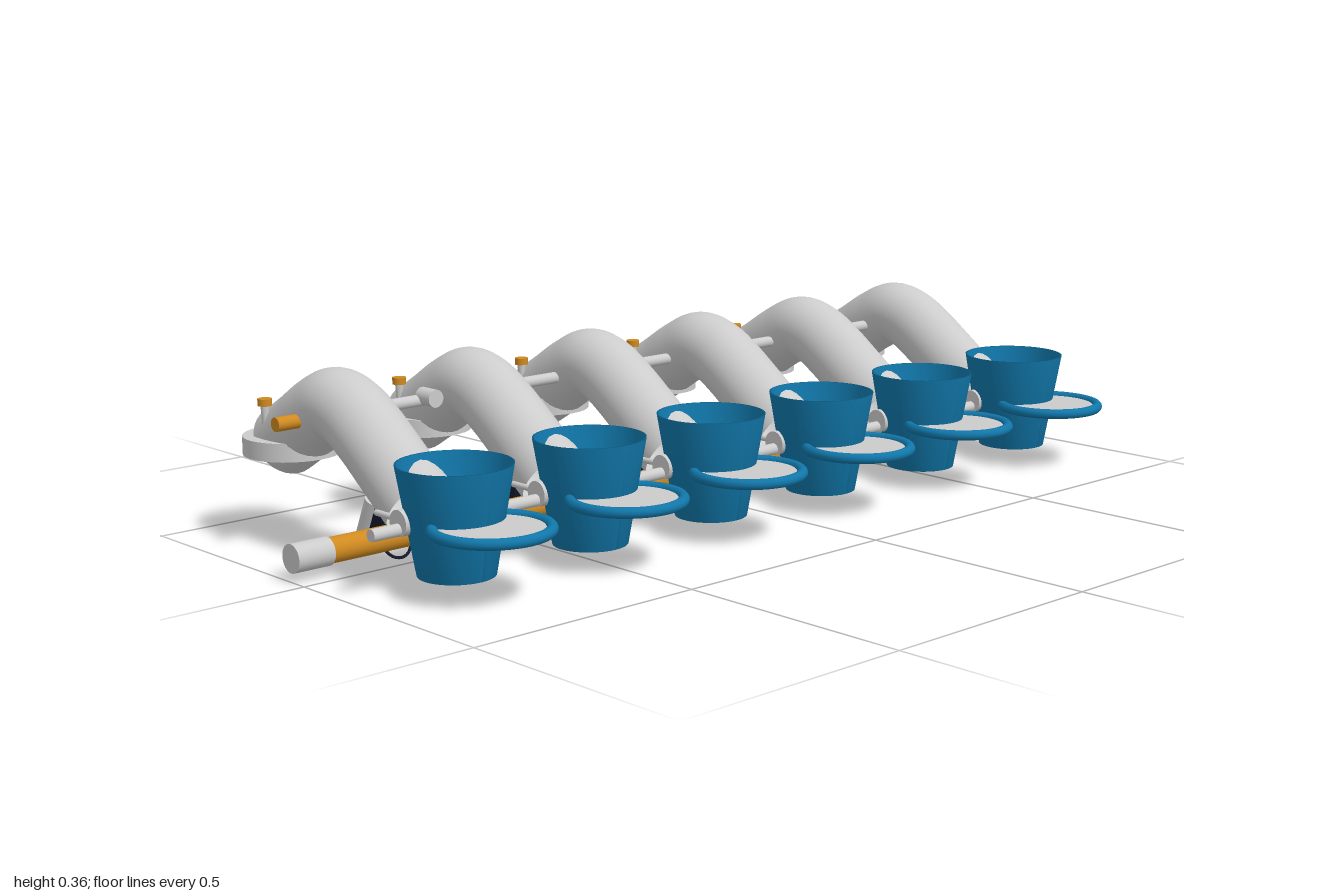
import * as THREE from 'three';

const mat = (color) => new THREE.MeshStandardMaterial({ color, side: THREE.DoubleSide });
const grey = mat(0xcccccc), white = mat(0xeeeeee), blue = mat(0x1177aa);
const orange = mat(0xd08a20), yellow = mat(0xf0c020), dark = mat(0x151a2c);

function add(parent, name, geometry, material, x = 0, y = 0, z = 0, rx = 0, ry = 0, rz = 0) {
  const mesh = new THREE.Mesh(geometry, material);
  mesh.name = name;
  mesh.position.set(x, y, z);
  mesh.rotation.set(rx, ry, rz);
  parent.add(mesh);
  return mesh;
}

const cyl = (r, h, r2 = r, open = false) => new THREE.CylinderGeometry(r, r2, h, 32, 1, open);

// rod along x between two ends
const rod = (parent, name, material, r, x0, x1, y, z) =>
  add(parent, name, cyl(r, x1 - x0), material, (x0 + x1) / 2, y, z, 0, 0, Math.PI / 2);

// centre line of the bent pipe as (z, y)
const pipePath = new THREE.CatmullRomCurve3([
  [0.095, 0.138], [0, 0.208], [-0.06, 0.251], [-0.112, 0.281],
  [-0.165, 0.292], [-0.218, 0.27], [-0.28, 0.232], [-0.343, 0.195],
].map(([z, y]) => new THREE.Vector3(0, y, z)));

function createUnit() {
  const unit = new THREE.Group();
  unit.name = 'unit';

  // bent pipe with its collar and bolts
  add(unit, 'pipe', new THREE.TubeGeometry(pipePath, 48, 0.072, 32), white);
  add(unit, 'collar', cyl(0.097, 0.037), grey, 0, 0.192, -0.323);
  for (const s of [-1, 1]) {
    add(unit, 'boltShaft', cyl(0.009, 0.05, 0.006), grey, s * 0.06, 0.258, -0.323);
    add(unit, 'boltHead', cyl(0.014, 0.014), orange, s * 0.06, 0.282, -0.323);
  }

  // open bucket
  const profile = [[0, 0.03], [0.073, 0.03], [0.109, 0.238], [0.105, 0.238], [0.07, 0.034], [0, 0.034]];
  add(unit, 'bucket', new THREE.LatheGeometry(profile.map((p) => new THREE.Vector2(...p)), 40), blue, 0, 0, 0.199)
    .geometry.computeVertexNormals();

  // round tray with a blue rim
  add(unit, 'trayRim', new THREE.TorusGeometry(0.107, 0.011, 12, 48), blue, 0, 0.135, 0.305, Math.PI / 2);
  add(unit, 'trayPlate', cyl(0.105, 0.005), grey, 0, 0.135, 0.305);

  // tilted flap at the pipe mouth, with pivots and arms
  add(unit, 'flap', cyl(0.058, 0.004), yellow, 0, 0.135, 0.157, 0.53);
  for (const s of [-1, 1]) {
    add(unit, 'pivot', cyl(0.025, 0.03), grey, s * 0.083, 0.135, 0.157, 0, 0, Math.PI / 2);
    add(unit, 'arm', new THREE.CapsuleGeometry(0.006, 0.08, 6, 12), grey, s * 0.078, 0.135, 0.105, Math.PI / 2);
  }

  // valve body, clamp block and wire loop on the supply pipe
  add(unit, 'valveBody', cyl(0.024, 0.1), grey, 0.03, 0.068, -0.105, 0.42);
  add(unit, 'clampBlock', new THREE.BoxGeometry(0.04, 0.065, 0.03), dark, 0.03, 0.085, -0.058, 0.42);
  add(unit, 'wireLoop', new THREE.TorusGeometry(0.031, 0.003, 8, 32), dark, 0.045, 0.034, -0.048, -0.5);
  return unit;
}

export function createModel() {
  const model = new THREE.Group();
  model.name = 'feederRow';

  // six equal units side by side
  for (let i = 0; i < 6; i++) {
    const unit = createUnit();
    unit.position.x = (i - 2.5) * 0.321;
    model.add(unit);
  }

  // supply pipe with its end fittings
  rod(model, 'supplyPipe', orange, 0.025, -0.94, 0.96, 0.049, -0.04);
  rod(model, 'endCap', grey, 0.028, -1, -0.92, 0.049, -0.04);
  add(model, 'elbowFitting', cyl(0.035, 0.053), grey, 0.965, 0.049, -0.037);

  // front pivot rod
  rod(model, 'pivotRod', grey, 0.012, -0.96, 0.97, 0.123, 0.157);

  // rear rod with tip, gauge and control box
  rod(model, 'rearRod', grey, 0.012, -0.9, 0.8, 0.264, -0.2);
  rod(model, 'rearRodTip', orange, 0.014, -0.92, -0.87, 0.264, -0.2);
  add(model, 'gauge', cyl(0.018, 0.045), grey, -0.573, 0.272, -0.18, Math.PI / 2);
  add(model, 'controlBox', new THREE.BoxGeometry(0.062, 0.052, 0.042), dark, 0.59, 0.277, -0.18);
  return model;
}
